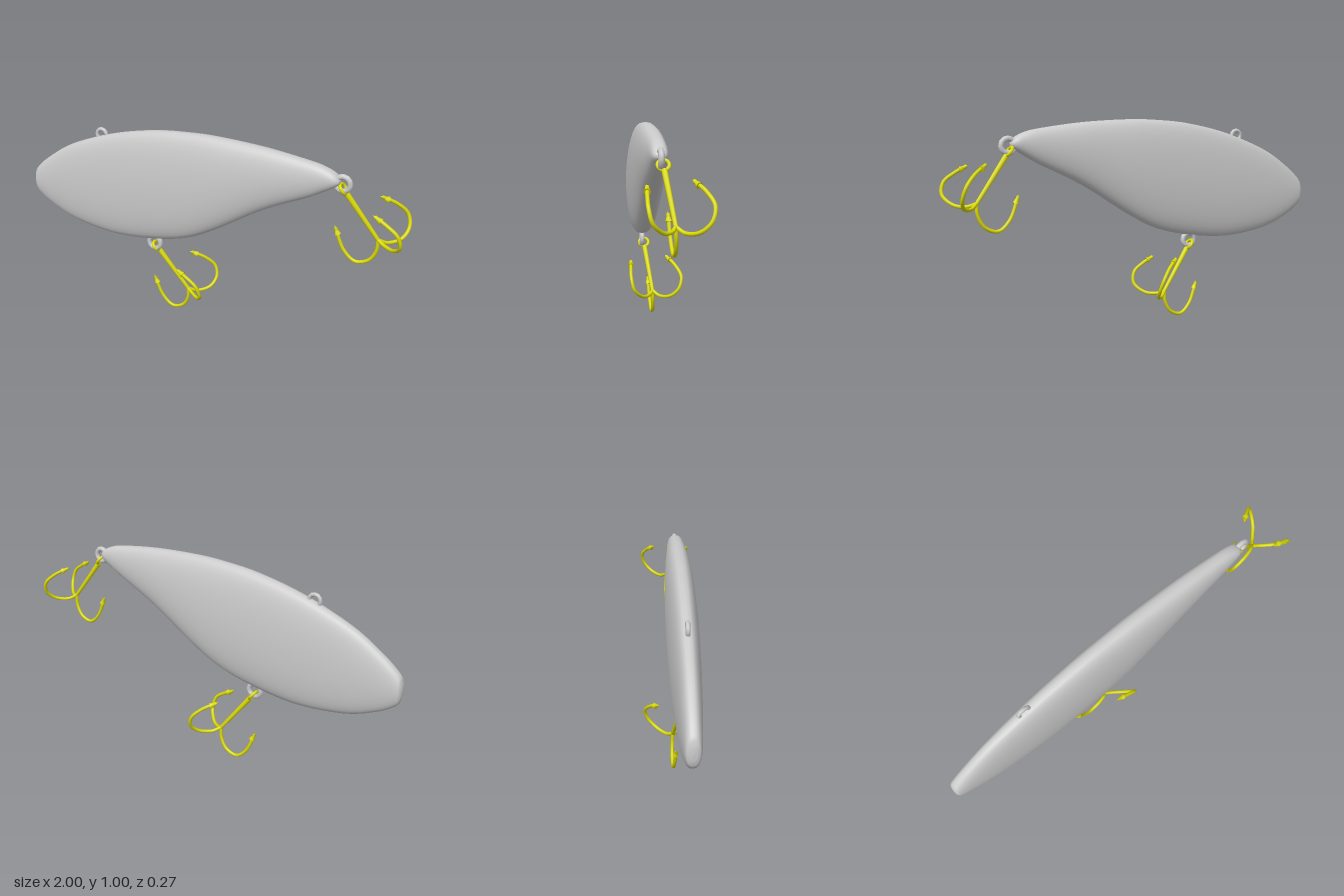
import * as THREE from 'three';

const MID = 0.053; // z of the body's centre plane
const grey = new THREE.MeshStandardMaterial({ color: 0xcccccc });
const yellow = new THREE.MeshStandardMaterial({ color: 0xdada08 });
const V = (p) => new THREE.Vector3(...p);

function add(parent, name, geometry, material) {
  const mesh = new THREE.Mesh(geometry, material);
  mesh.name = name;
  parent.add(mesh);
  return mesh;
}

// Body stations from nose to tail: x, bottom y, top y, half thickness
const stations = [
  [-1.0, 0.585, 0.59, 0], [-0.995, 0.545, 0.63, 0.022], [-0.975, 0.513, 0.668, 0.034],
  [-0.89, 0.46, 0.738, 0.043], [-0.74, 0.406, 0.829, 0.053], [-0.5, 0.38, 0.92, 0.065],
  [-0.26, 0.406, 0.975, 0.072], [-0.07, 0.455, 0.995, 0.074], [0.09, 0.537, 1.0, 0.073],
  [0.33, 0.69, 0.99, 0.063], [0.544, 0.797, 0.966, 0.047], [0.62, 0.84, 0.95, 0.04],
  [0.665, 0.868, 0.93, 0.033], [0.685, 0.885, 0.91, 0.02], [0.69, 0.897, 0.899, 0],
];

// Loft of rounded, slightly full cross-sections along x
function bodyGeometry() {
  const curve = (k) => new THREE.CatmullRomCurve3(
    stations.map((s) => new THREE.Vector3(s[0], s[k], s[3])), false, 'catmullrom', 0.5);
  const bottom = curve(1), top = curve(2);
  const rows = 70, sides = 40, pos = [], index = [];
  for (let i = 0; i <= rows; i++) {
    const lo = bottom.getPoint(i / rows), hi = top.getPoint(i / rows);
    for (let j = 0; j < sides; j++) {
      const a = (j / sides) * Math.PI * 2, c = Math.cos(a);
      const y = (lo.y + hi.y) / 2 + Math.sin(a) * (hi.y - lo.y) / 2;
      const z = Math.sign(c) * Math.pow(Math.abs(c), 0.76) * Math.max(0, hi.z);
      pos.push(lo.x, y, MID + z);
      if (i < rows) {
        const p = i * sides + j, q = i * sides + (j + 1) % sides;
        index.push(p, p + sides, q, q, p + sides, q + sides);
      }
    }
  }
  const g = new THREE.BufferGeometry();
  g.setAttribute('position', new THREE.Float32BufferAttribute(pos, 3));
  g.setIndex(index);
  g.computeVertexNormals();
  return g;
}

// Hook tines, each from the bend to the tip
const bend = [0.865, 0.645, 0.012];
const tines = {
  frontTine: [bend, [0.9, 0.632, 0.03], [0.95, 0.637, 0.068], [0.988, 0.68, 0.112],
    [0.975, 0.735, 0.126], [0.925, 0.773, 0.126], [0.87, 0.802, 0.122]],
  backTine: [bend, [0.9, 0.626, -0.02], [0.948, 0.637, -0.07], [0.965, 0.68, -0.112],
    [0.95, 0.735, -0.125], [0.905, 0.782, -0.1], [0.843, 0.818, -0.06]],
  lowerTine: [bend, [0.862, 0.59, 0.01], [0.83, 0.535, 0.008], [0.77, 0.515, 0.01],
    [0.715, 0.56, 0.014], [0.67, 0.665, 0.02]],
};

function trebleHook(name) {
  const hook = new THREE.Group();
  hook.name = name;
  const start = V([0.713, 0.847, 0.04]), end = V(bend);
  const along = end.clone().sub(start), length = along.length(), dir = along.normalize();
  const up = new THREE.Vector3(0, 1, 0);

  // Tapered shank
  const shank = add(hook, 'shank', new THREE.CylinderGeometry(0.009, 0.013, length, 10), yellow);
  shank.position.copy(start).lerp(end, 0.5);
  shank.quaternion.setFromUnitVectors(up, dir);

  // Eye, lying across the body's ring
  const eye = add(hook, 'hookEye', new THREE.TorusGeometry(0.024, 0.008, 8, 20), yellow);
  const side = new THREE.Vector3(0, 0, 1).cross(dir).normalize();
  const across = dir.clone().cross(side).normalize();
  eye.quaternion.setFromRotationMatrix(new THREE.Matrix4().makeBasis(across, dir, across.clone().cross(dir)));
  eye.position.copy(start).addScaledVector(dir, -0.022);

  for (const [tineName, points] of Object.entries(tines)) {
    const curve = new THREE.CatmullRomCurve3(points.map(V));
    add(hook, tineName, new THREE.TubeGeometry(curve, 36, 0.0085, 8), yellow);
    // Barbed point
    const tangent = curve.getTangent(1);
    const barb = add(hook, tineName + 'Barb', new THREE.ConeGeometry(0.015, 0.045, 8), yellow);
    barb.position.copy(curve.getPoint(1)).addScaledVector(tangent, -0.012);
    barb.quaternion.setFromUnitVectors(up, tangent);
  }
  return hook;
}

export function createModel() {
  const model = new THREE.Group();
  model.name = 'fishingLure';
  add(model, 'body', bodyGeometry(), grey);

  // Line and hook rings: name, x, y, radius, tube radius
  for (const [name, x, y, r, tube] of [
    ['lineRing', -0.557, 0.906, 0.028, 0.01],
    ['bellyRing', -0.263, 0.381, 0.033, 0.013],
    ['tailRing', 0.7, 0.89, 0.033, 0.013],
  ]) {
    add(model, name, new THREE.TorusGeometry(r, tube, 8, 12), grey).position.set(x, y, MID);
  }

  // Two identical hooks, at the tail and the belly
  const tailHook = trebleHook('tailHook');
  const bellyHook = trebleHook('bellyHook');
  bellyHook.position.set(-0.96, -0.507, 0);
  model.add(tailHook, bellyHook);
  return model;
}
